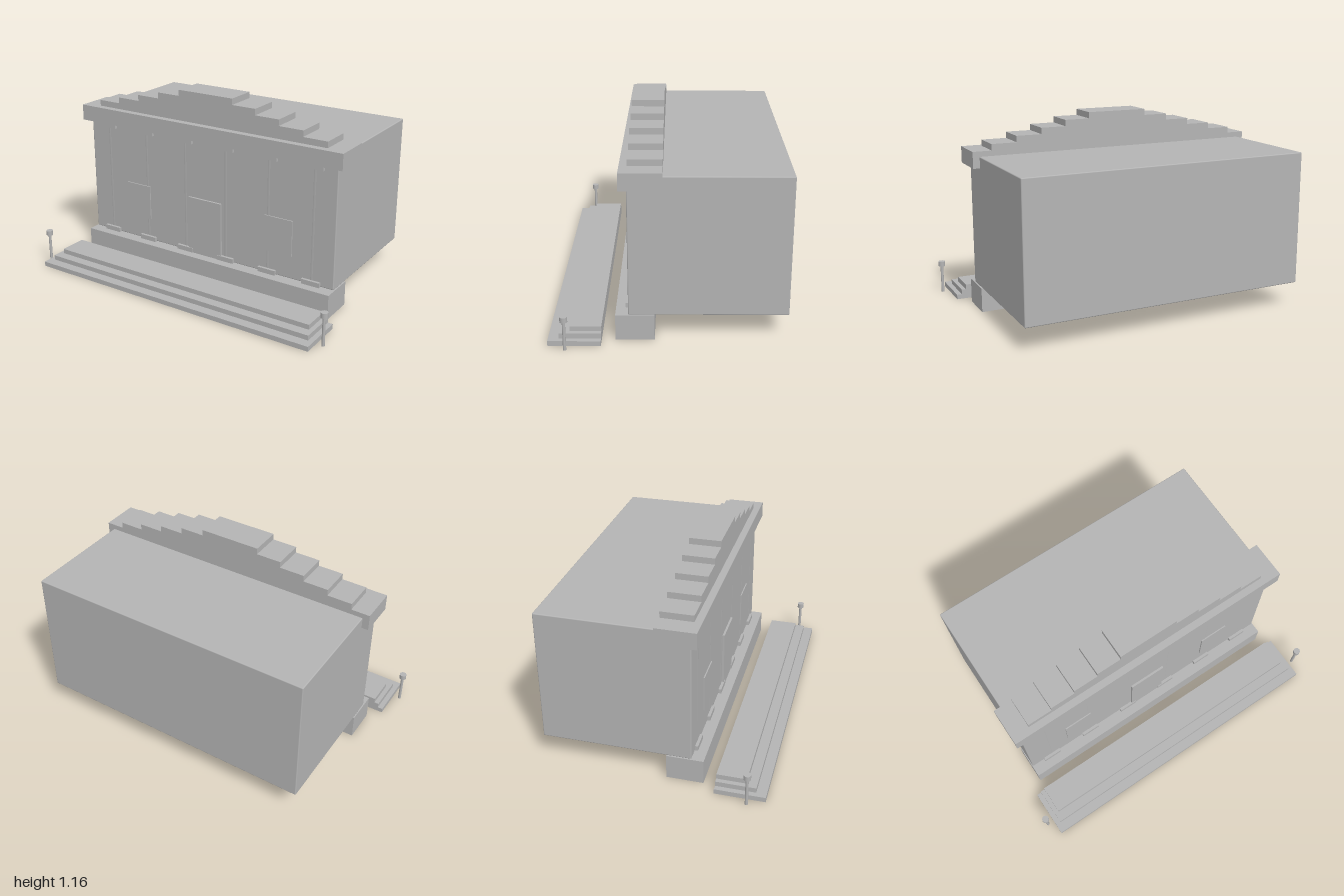
import * as THREE from 'three';
import { RoundedBoxGeometry } from 'three/addons/geometries/RoundedBoxGeometry.js';

export function createModel() {
  const model = new THREE.Group();
  model.name = 'templeBuilding';
  const stone = new THREE.MeshStandardMaterial({ color: 0xb4b4b4 });
  stone.name = 'grey stone';

  const add = (name, geometry, x, y, z) => {
    const mesh = new THREE.Mesh(geometry, stone);
    mesh.name = name;
    mesh.position.set(x, y, z);
    model.add(mesh);
  };
  // Box given by its x centre, width, and y and z ranges
  const box = (name, x, w, y0, y1, z0, z1) =>
    add(name, new THREE.BoxGeometry(w, y1 - y0, z1 - z0), x, (y0 + y1) / 2, (z0 + z1) / 2);

  // Main hall with slightly softened edges
  add('hall', new RoundedBoxGeometry(1.73, 0.793, 0.868, 2, 0.006), 0, 0.5445, -0.216);

  // Platform under the facade
  box('platform', 0, 1.74, 0, 0.147, 0.075, 0.288);

  // Detached front stairs, each tread shorter and narrower
  [[0.94, 0.65], [0.91, 0.592], [0.883, 0.535]].forEach(([half, front], i) =>
    box('stair', 0, half * 2, i * 0.029, (i + 1) * 0.029, 0.363, front));

  // Entablature and stepped pediment
  box('entablature', 0, 1.81, 0.875, 0.972, 0.03, 0.258);
  [0.793, 0.643, 0.49, 0.338, 0.186].forEach((half, i) =>
    box('pedimentStep', 0, half * 2, 0.972 + i * 0.037, 0.972 + (i + 1) * 0.037, 0.03, 0.216));

  // Engaged columns, mostly sunk in the wall, with bases and capitals
  for (let i = 0; i < 6; i++) {
    const x = (i - 2.5) * 0.29;
    box('columnBase', x, 0.115, 0.147, 0.176, 0.12, 0.235);
    box('columnCapital', x, 0.115, 0.845, 0.875, 0.12, 0.235);
    add('columnShaft', new THREE.CylinderGeometry(0.042, 0.042, 0.669, 16), x, 0.5105, 0.1775);
  }

  // Door and windows
  box('door', 0, 0.232, 0.147, 0.508, 0.2, 0.231);
  for (const side of [-1, 1]) {
    box('window', side * 0.505, 0.18, 0.29, 0.508, 0.2, 0.225);

    // Lamp posts beside the stairs
    add('lampPost', new THREE.CylinderGeometry(0.009, 0.009, 0.175, 12), side * 0.979, 0.0875, 0.552);
    add('lampHead', new THREE.CylinderGeometry(0.021, 0.021, 0.03, 12), side * 0.979, 0.185, 0.552);
  }
  return model;
}
